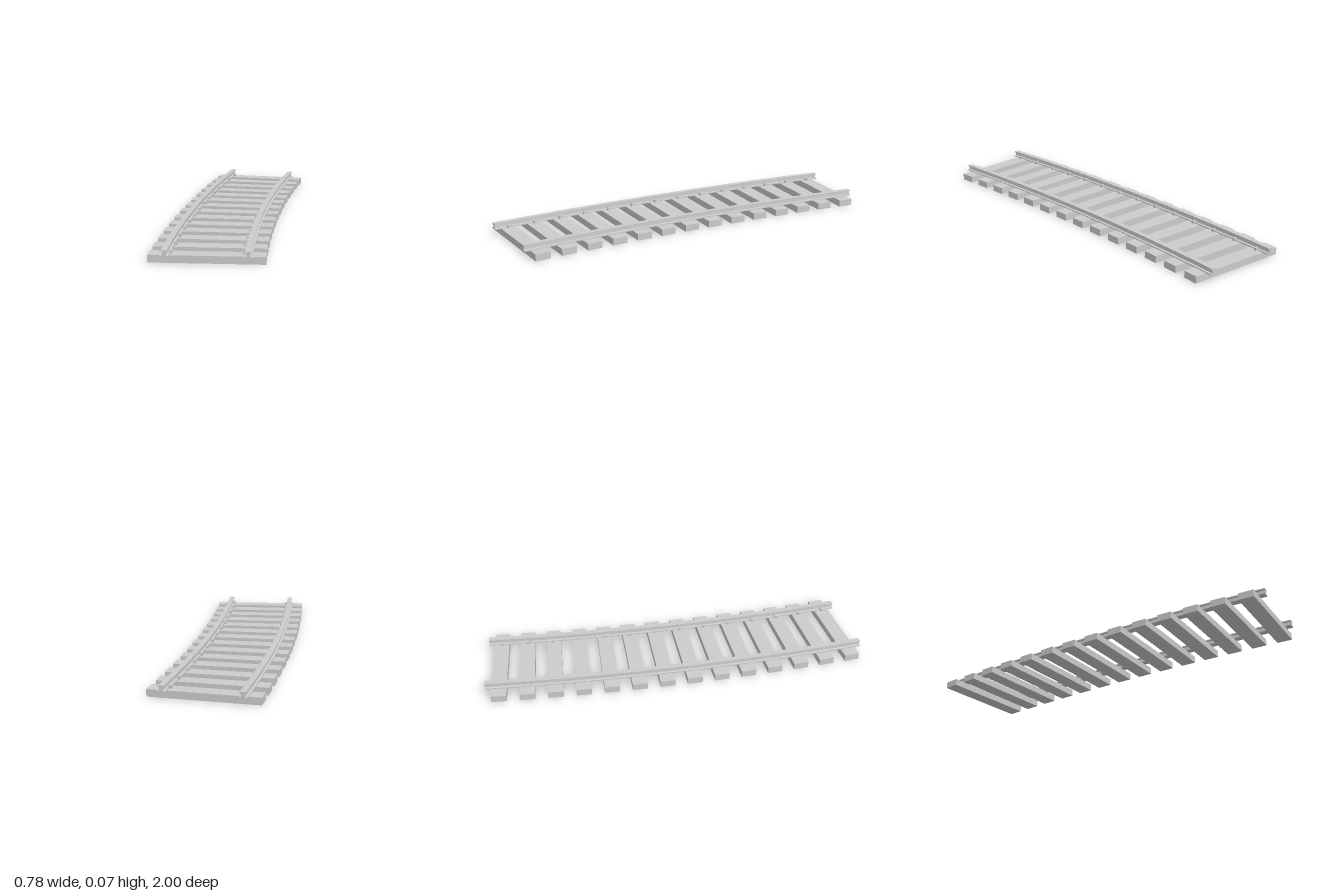
import * as THREE from 'three';

const RADIUS = 11.5;             // curve radius of the track centre line
const CX = 11.361, CZ = -1.553;  // centre of the curve
const SLEEPERS = 14;
const rad = THREE.MathUtils.degToRad;
const START = rad(2.8), END = rad(12.6);
const STEP = (END - START) / SLEEPERS;

// Point on the track: heading angle a, sideways offset from the centre line
function onTrack(a, offset, y) {
  const r = RADIUS - offset;
  return new THREE.Vector3(CX - r * Math.cos(a), y, CZ + r * Math.sin(a));
}

// I-shaped rail section, mirrored about its middle
function railSection() {
  const half = [[0.018, 0.034], [0.018, 0.040], [0.008, 0.042], [0.007, 0.058], [0.014, 0.060], [0.014, 0.066]];
  const mirrored = half.map(([x, y]) => [-x, y]).reverse();
  return new THREE.Shape([...half, ...mirrored].map(([x, y]) => new THREE.Vector2(x, y)));
}

// Straight extrusion bent along the curve
function railGeometry(offset) {
  const geo = new THREE.ExtrudeGeometry(railSection(), { depth: 1, steps: SLEEPERS, bevelEnabled: false });
  const pos = geo.attributes.position;
  for (let i = 0; i < pos.count; i++) {
    const a = START + (END - START) * pos.getZ(i);
    const p = onTrack(a, offset + pos.getX(i), pos.getY(i));
    pos.setXYZ(i, p.x, p.y, p.z);
  }
  geo.computeVertexNormals();
  return geo;
}

export function createModel() {
  const group = new THREE.Group();
  const material = new THREE.MeshStandardMaterial({ color: 0xcccccc, flatShading: true });
  const add = (name, geo) => {
    const mesh = new THREE.Mesh(geo, material);
    mesh.name = name;
    group.add(mesh);
    return mesh;
  };

  // Two rails
  add('leftRail', railGeometry(0.185));
  add('rightRail', railGeometry(-0.185));

  // Sleepers, each with a spike on the inner side of both rails
  const sleeperGeo = new THREE.BoxGeometry(0.527, 0.035, 0.078);
  const spikeGeo = new THREE.BoxGeometry(0.016, 0.046, 0.014);
  for (let i = 0; i < SLEEPERS; i++) {
    const a = START + STEP * (i + 0.5);
    const sleeper = add('sleeper', sleeperGeo);
    sleeper.position.copy(onTrack(a, 0, 0.0175));
    sleeper.rotation.y = a;
    for (const side of [-1, 1]) {
      const spike = add('spike', spikeGeo);
      spike.position.copy(onTrack(a, side * 0.164, 0.026));
      spike.rotation.y = a;
    }
  }
  return group;
}
